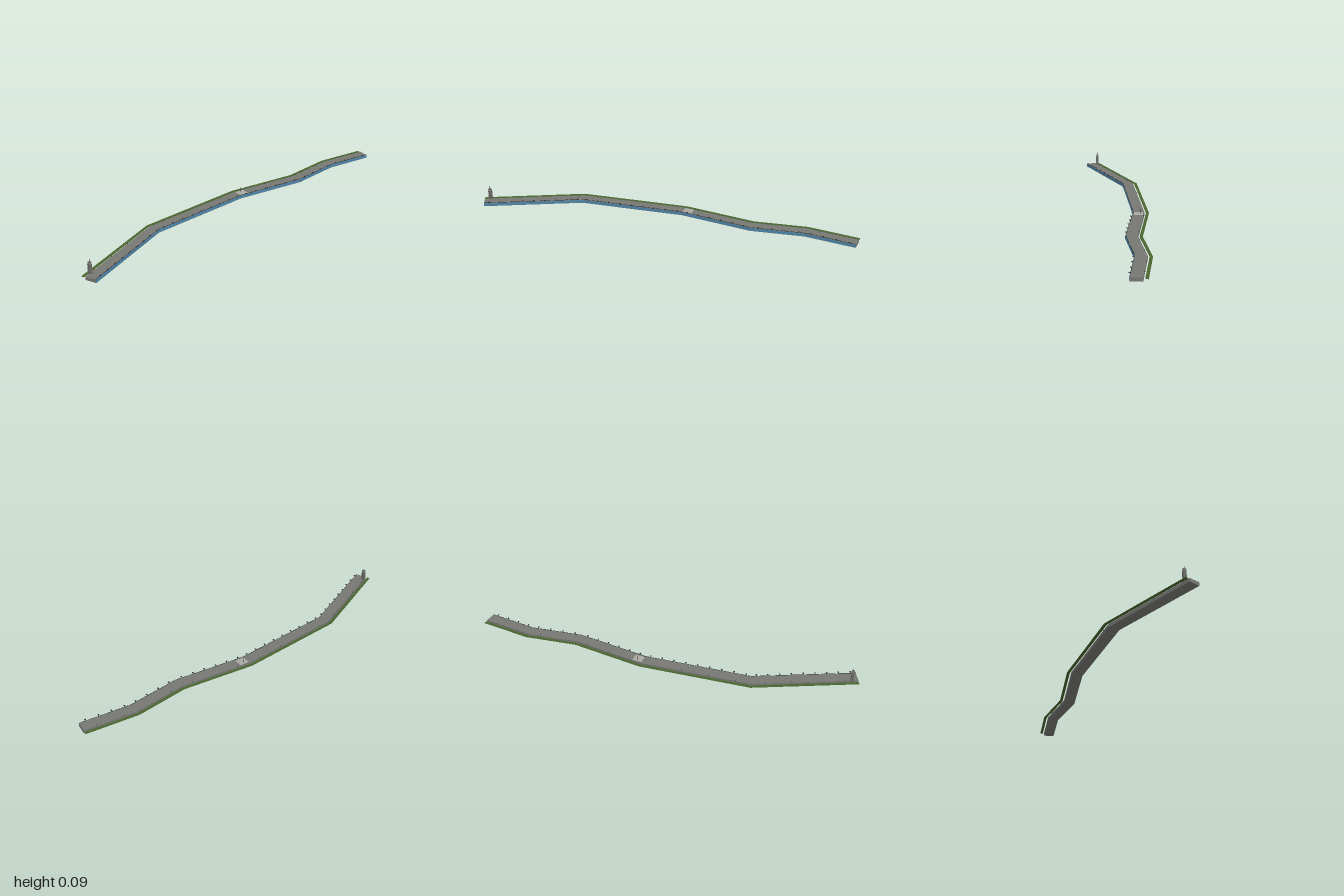
import * as THREE from 'three';
import { mergeGeometries } from 'three/addons/utils/BufferGeometryUtils.js';

// Centre line of the sea wall as [x, z], running from back to front
const PATH = [[-0.129, -0.996], [-0.148, -0.73], [-0.102, -0.455], [-0.133, -0.07], [-0.066, 0.495], [0.173, 0.976]]
  .map(([x, z]) => new THREE.Vector2(x, z));
const HALF = 0.029;
const TOP = 0.0175;

const mat = (name, color) => {
  const m = new THREE.MeshStandardMaterial({ color });
  m.name = name;
  return m;
};

const dirOf = (i) => PATH[i + 1].clone().sub(PATH[i]).normalize();

// Sideways direction at each path point, lengthened at the bends
const SIDES = PATH.map((_, i) => {
  const a = dirOf(Math.max(i - 1, 0));
  const b = dirOf(Math.min(i, PATH.length - 2));
  const t = a.clone().add(b).normalize();
  return new THREE.Vector2(t.y, -t.x).divideScalar(t.dot(a));
});

// Rectangular section swept along the path between two side offsets
function ribbon(o0, o1, y0, y1) {
  const rings = PATH.map((p, i) => [[o0, y0], [o1, y0], [o1, y1], [o0, y1]]
    .map(([o, y]) => [p.x + SIDES[i].x * o, y, p.y + SIDES[i].y * o]));
  const pos = [];
  const quad = (a, b, c, d) => pos.push(...a, ...b, ...c, ...a, ...c, ...d);
  for (let i = 0; i < rings.length - 1; i++) {
    const r = rings[i], s = rings[i + 1];
    for (let k = 0; k < 4; k++) {
      const n = (k + 1) % 4;
      quad(r[k], r[n], s[n], s[k]);
    }
  }
  const first = rings[0], last = rings[rings.length - 1];
  quad(last[0], last[1], last[2], last[3]);
  quad(first[3], first[2], first[1], first[0]);
  const g = new THREE.BufferGeometry();
  g.setAttribute('position', new THREE.Float32BufferAttribute(pos, 3));
  g.computeVertexNormals();
  return g;
}

// Evenly spaced places along the path at a side offset
function places(spacing, offset) {
  const list = [];
  for (let i = 0; i < PATH.length - 1; i++) {
    const d = dirOf(i);
    const len = PATH[i].distanceTo(PATH[i + 1]);
    const n = Math.round(len / spacing);
    for (let k = 0; k < n; k++) {
      const p = PATH[i].clone().addScaledVector(d, ((k + 0.5) / n) * len);
      list.push({ x: p.x + d.y * offset, z: p.y - d.x * offset, angle: Math.atan2(d.x, d.y) });
    }
  }
  return list;
}

const box = (w, h, d, x, y, z) => new THREE.BoxGeometry(w, h, d).translate(x, y, z);

const repeat = (geo, spots) => mergeGeometries(
  spots.map((s) => geo.clone().rotateY(s.angle).translate(s.x, 0, s.z)));

export function createModel() {
  const root = new THREE.Group();
  const stone = mat('stone', 0x777774);
  const paleStone = mat('pale stone', 0xa9a9a1);
  const grass = mat('grass green', 0x4a662f);
  const blue = mat('water blue', 0x4a86ae);
  const iron = mat('dark iron', 0x2d3033);
  const grey = mat('tower grey', 0x6c6c6a);

  const add = (name, geo, material, parent = root) => {
    const m = new THREE.Mesh(geo, material);
    m.name = name;
    parent.add(m);
    return m;
  };

  // Wall body, blue seaward face and planted strip on the other side
  add('wallBody', ribbon(-HALF, HALF, 0, TOP), stone);
  add('seaFace', ribbon(HALF, HALF + 0.0015, 0.003, 0.0165), blue);
  add('grassStrip', ribbon(-0.052, -0.037, 0.012, 0.0145), grass);

  // Low railing along the seaward edge
  add('railing', ribbon(0.0276, 0.0288, 0.0192, 0.0206), iron);
  add('railingPosts', repeat(box(0.0014, 0.0036, 0.0018, 0, TOP + 0.0018, 0), places(0.014, 0.0282)), iron);

  // Lamps, with heads reaching past the edge
  const lamp = mergeGeometries([
    box(0.0016, 0.0085, 0.0016, 0, TOP + 0.0042, 0),
    box(0.0075, 0.002, 0.007, 0.0025, TOP + 0.0075, 0),
  ]);
  add('lamps', repeat(lamp, places(0.063, 0.0295)), iron);

  // Sparse bollards on the planted side
  add('bollards', repeat(box(0.0015, 0.006, 0.0015, 0, TOP + 0.003, 0), places(0.13, -0.0275)), iron);

  // Pale square with a flagpole
  const plaza = add('plaza', box(0.046, 0.001, 0.05, 0, 0, 0), paleStone);
  plaza.position.set(-0.132, TOP + 0.0005, -0.095);
  add('flagpole', box(0.0012, 0.026, 0.0012, -0.143, TOP + 0.013, -0.095), iron);

  // Watch tower with corner piers at the front end
  const tower = new THREE.Group();
  tower.name = 'tower';
  tower.position.set(0.1355, 0, 0.958);
  root.add(tower);
  add('towerShaft', box(0.012, 0.054, 0.012, 0, 0.042, 0), grey, tower);
  const piers = [];
  for (const x of [-1, 1]) {
    for (const z of [-1, 1]) piers.push(box(0.003, 0.054, 0.003, x * 0.0063, 0.042, z * 0.0063));
  }
  add('towerPiers', mergeGeometries(piers), grey, tower);
  add('towerLantern', box(0.008, 0.005, 0.008, 0, 0.0712, 0), paleStone, tower);
  add('towerRoof', box(0.014, 0.005, 0.014, 0, 0.0755, 0), grey, tower);
  add('towerMast', box(0.0012, 0.016, 0.0012, 0, 0.0855, 0), iron, tower);

  return root;
}
